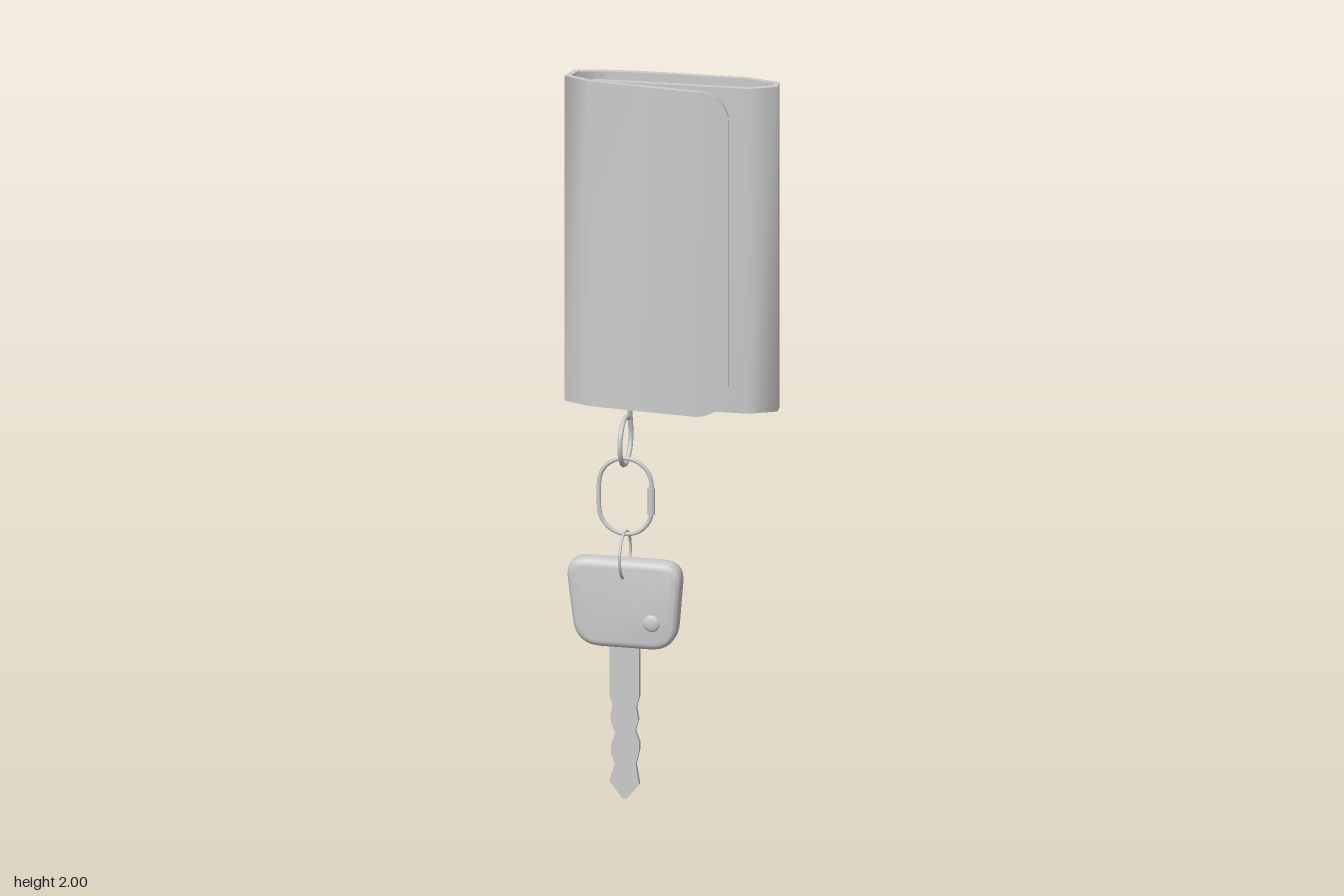
import * as THREE from 'three';
import { toCreasedNormals } from 'three/addons/utils/BufferGeometryUtils.js';

const material = new THREE.MeshStandardMaterial({ color: 0xcccccc });
const KEY_X = -0.113, KEY_Z = 0.028;

function part(name, geometry, x = 0, y = 0, z = 0) {
  const mesh = new THREE.Mesh(geometry, material);
  mesh.name = name;
  mesh.position.set(x, y, z);
  return mesh;
}

// Upright sheet swept along stations [x, z, inset], inset trimming top and bottom
function sheet(stations, bottom, top, thickness) {
  const pos = [], index = [], n = stations.length;
  const dir = (a, b) => new THREE.Vector2(b[0] - a[0], b[1] - a[1]).normalize();
  stations.forEach((s, i) => {
    const before = dir(stations[Math.max(i - 1, 0)], stations[Math.max(i, 1)]);
    const after = dir(stations[Math.min(i, n - 2)], stations[Math.min(i + 1, n - 1)]);
    const t = before.clone().add(after).normalize();
    const half = thickness / 2 / Math.max(t.dot(after), 0.7);
    for (const [a, y] of [[1, bottom + s[2]], [1, top - s[2]], [-1, top - s[2]], [-1, bottom + s[2]]])
      pos.push(s[0] + a * half * t.y, y, s[1] - a * half * t.x);
  });
  for (let i = 0; i < n - 1; i++)
    for (let j = 0; j < 4; j++) {
      const a = i * 4 + j, b = i * 4 + (j + 1) % 4;
      index.push(a, b, a + 4, b, b + 4, a + 4);
    }
  const e = (n - 1) * 4;
  index.push(0, 2, 1, 0, 3, 2, e, e + 1, e + 2, e, e + 2, e + 3);
  const g = new THREE.BufferGeometry();
  g.setAttribute('position', new THREE.Float32BufferAttribute(pos, 3));
  g.setIndex(index);
  return toCreasedNormals(g, 1.45);
}

// Closed polygon with rounded corners, each corner being [x, y, radius]
function roundedShape(corners) {
  const shape = new THREE.Shape(), n = corners.length;
  corners.forEach((c, i) => {
    const p = new THREE.Vector2(c[0], c[1]);
    const toward = (q) => new THREE.Vector2(q[0], q[1]).sub(p).normalize().multiplyScalar(c[2]).add(p);
    const a = toward(corners[(i + n - 1) % n]), b = toward(corners[(i + 1) % n]);
    if (i === 0) shape.moveTo(a.x, a.y); else shape.lineTo(a.x, a.y);
    shape.quadraticCurveTo(p.x, p.y, b.x, b.y);
  });
  shape.closePath();
  return shape;
}

function createWallet() {
  // Rounded flap edge, then the wrap around the left side, back, right side and inner front
  const stations = [], r = 0.085;
  for (let i = 0; i <= 10; i++) {
    const a = (i / 10) * Math.PI / 2, d = r * (1 - Math.cos(a));
    stations.push([0.17 - d, 0.029 + 0.017 * d / r, r * (1 - Math.sin(a))]);
  }
  const wrap = [[-0.06, 0.035], [-0.21, 0.021], [-0.279, -0.008], [-0.268, -0.055],
    [-0.18, -0.073], [-0.1, -0.083], [0, -0.089], [0.1, -0.092], [0.188, -0.097],
    [0.276, -0.077], [0.279, -0.046], [0.214, -0.013], [0, -0.001], [-0.205, 0.011]];
  wrap.forEach(([x, z]) => stations.push([x, z, 0]));
  return part('walletCover', sheet(stations, 1.09, 2, 0.015));
}

function createHook() {
  // Tail hanging from the wallet, curling into an open loop
  const points = [new THREE.Vector3(0, 0.16, -0.035), new THREE.Vector3(0, 0.09, -0.046)];
  for (let i = 0; i <= 16; i++) {
    const a = -0.1 + (i / 16) * 5.4;
    points.push(new THREE.Vector3(0, -Math.sin(a) * 0.064, -Math.cos(a) * 0.064));
  }
  const g = new THREE.TubeGeometry(new THREE.CatmullRomCurve3(points), 64, 0.007, 8);
  const hook = new THREE.Group();
  hook.name = 'hook';
  hook.position.set(KEY_X, 1, KEY_Z);
  hook.add(part('hookWire', g));
  const end = points[points.length - 1];
  hook.add(part('hookTip', new THREE.SphereGeometry(0.007, 8, 6), end.x, end.y, end.z));
  return hook;
}

function createOvalLink() {
  const link = new THREE.Group();
  link.name = 'ovalLink';
  link.position.set(KEY_X, 0.845, KEY_Z);
  const points = [];
  for (let side = 0; side < 2; side++)
    for (let i = 0; i <= 8; i++) {
      const a = (side + i / 8) * Math.PI;
      points.push(new THREE.Vector3(Math.cos(a) * 0.072, Math.sin(a) * 0.072 + (side ? -0.034 : 0.034), 0));
    }
  const curve = new THREE.CatmullRomCurve3(points, true);
  link.add(part('linkWire', new THREE.TubeGeometry(curve, 72, 0.006, 8, true)));
  link.add(part('linkSleeve', toCreasedNormals(new THREE.CylinderGeometry(0.01, 0.01, 0.075, 12), 0.8), 0.071, -0.008, 0));
  return link;
}

function createKey() {
  const key = new THREE.Group();
  key.name = 'key';

  const ring = part('keyRing', new THREE.TorusGeometry(0.063, 0.004, 8, 40), KEY_X, 0.683, 0.033);
  ring.rotation.y = Math.PI / 2;
  key.add(ring);

  // Softly rounded head, slightly narrower at the bottom
  const head = roundedShape([[-0.245, 0.425, 0.07], [0.027, 0.425, 0.07], [0.047, 0.67, 0.06], [-0.275, 0.67, 0.06]]);
  const bevel = 0.02;
  const headGeometry = new THREE.ExtrudeGeometry(head, {
    depth: 0.063 - 2 * bevel, bevelThickness: bevel, bevelSize: bevel, bevelOffset: -bevel,
    bevelSegments: 5, curveSegments: 8,
  });
  key.add(part('keyHead', toCreasedNormals(headGeometry, 0.6), 0, 0, -0.005 + bevel));

  // Domed button on the front of the head
  const button = part('headButton', new THREE.SphereGeometry(0.024, 20, 12), -0.035, 0.503, 0.056);
  button.scale.z = 0.4;
  key.add(button);

  // Blade with wavy edges and a pointed tip
  const left = [[-0.155, 0.44], [-0.155, 0.29], [-0.147, 0.265], [-0.153, 0.235], [-0.15, 0.21],
    [-0.139, 0.185], [-0.151, 0.15], [-0.15, 0.125], [-0.141, 0.1], [-0.155, 0.05], [-0.121, 0.004]];
  const right = [[-0.107, 0.004], [-0.074, 0.045], [-0.083, 0.1], [-0.074, 0.14], [-0.074, 0.165],
    [-0.085, 0.195], [-0.076, 0.225], [-0.082, 0.26], [-0.074, 0.29], [-0.074, 0.44]];
  const outline = new THREE.Shape([...left, ...right].map(([x, y]) => new THREE.Vector2(x, y)));
  const blade = new THREE.ExtrudeGeometry(outline, { depth: 0.014, bevelEnabled: false });
  key.add(part('keyBlade', blade, 0, -0.004, 0.021));
  return key;
}

export function createModel() {
  const model = new THREE.Group();
  model.name = 'keyWallet';
  model.add(createWallet(), createHook(), createOvalLink(), createKey());
  return model;
}
